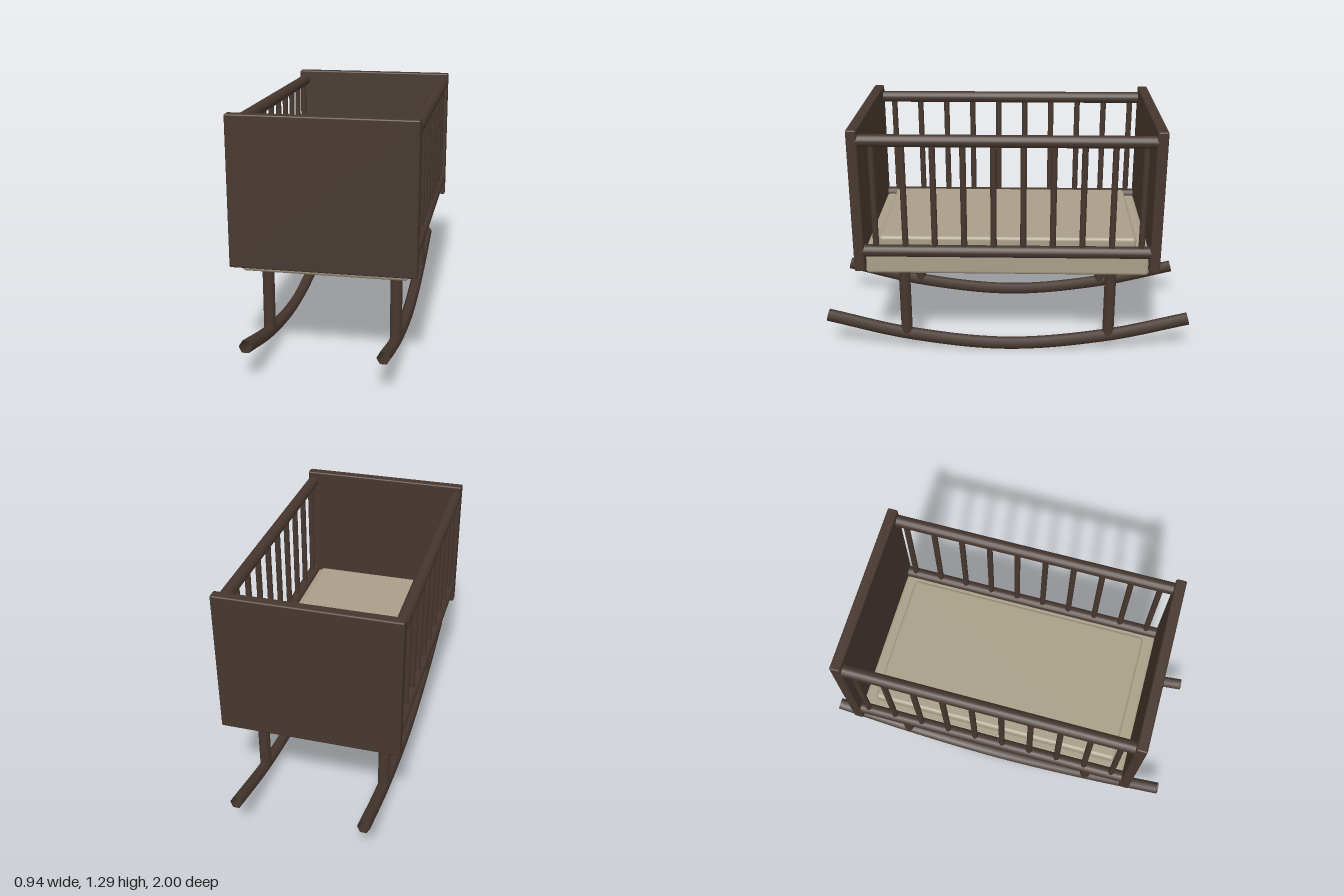
import * as THREE from 'three';
import { RoundedBoxGeometry } from 'three/addons/geometries/RoundedBoxGeometry.js';

export function createModel() {
  const model = new THREE.Group();
  model.name = 'rockingCradle';

  const wood = new THREE.MeshStandardMaterial({ color: 0x46372f });
  wood.name = 'darkWood';
  const tubeWood = new THREE.MeshStandardMaterial({ color: 0x46372f, side: THREE.DoubleSide });
  tubeWood.name = 'darkWoodOpen';
  const cloth = new THREE.MeshStandardMaterial({ color: 0xa89e87 });
  cloth.name = 'beigeCloth';

  const add = (name, geometry, material, x, y, z) => {
    const mesh = new THREE.Mesh(geometry, material);
    mesh.name = name;
    mesh.position.set(x, y, z);
    model.add(mesh);
    return mesh;
  };
  const rod = (radius, length, sides = 16) => new THREE.CylinderGeometry(radius, radius, length, sides);

  // Bed base and mattress
  add('base', new RoundedBoxGeometry(0.84, 0.145, 1.5, 3, 0.02), cloth, 0, 0.5625, 0);
  add('mattress', new RoundedBoxGeometry(0.745, 0.1, 1.365, 3, 0.02), cloth, 0, 0.636, 0);

  // End boards
  const board = new RoundedBoxGeometry(0.936, 0.77, 0.055, 2, 0.008);
  add('frontBoard', board, wood, 0, 0.91, 0.7725);
  add('backBoard', board, wood, 0, 0.91, -0.7725);

  // Rocker: a shallow upward curve, six-sided in section
  const rockerPath = new THREE.CatmullRomCurve3([
    [0.195, -0.991], [0.088, -0.55], [0.03, 0], [0.088, 0.55], [0.195, 0.991],
  ].map(([y, z]) => new THREE.Vector3(0, y, z)));
  const rockerGeometry = new THREE.TubeGeometry(rockerPath, 40, 0.034, 6);

  const railGeometry = rod(0.032, 1.51);
  railGeometry.rotateX(Math.PI / 2);
  const slatGeometry = rod(0.016, 0.59, 12);
  const legGeometry = rod(0.031, 0.42);

  for (const side of [-1, 1]) {
    const railX = side * 0.437;
    const rockerX = side * 0.337;

    // Side railing
    add('topRail', railGeometry, wood, railX, 1.235, 0);
    add('lowerRail', railGeometry, wood, railX, 0.634, 0);
    for (let i = 0; i < 10; i++) {
      add('slat', slatGeometry, wood, railX, 0.935, 0.683 - i * 0.1537);
    }

    // Legs and rocker
    for (const end of [-1, 1]) {
      add('leg', legGeometry, wood, rockerX, 0.295, end * 0.557);
    }
    add('rocker', rockerGeometry, tubeWood, rockerX, 0, 0);
  }

  return model;
}
